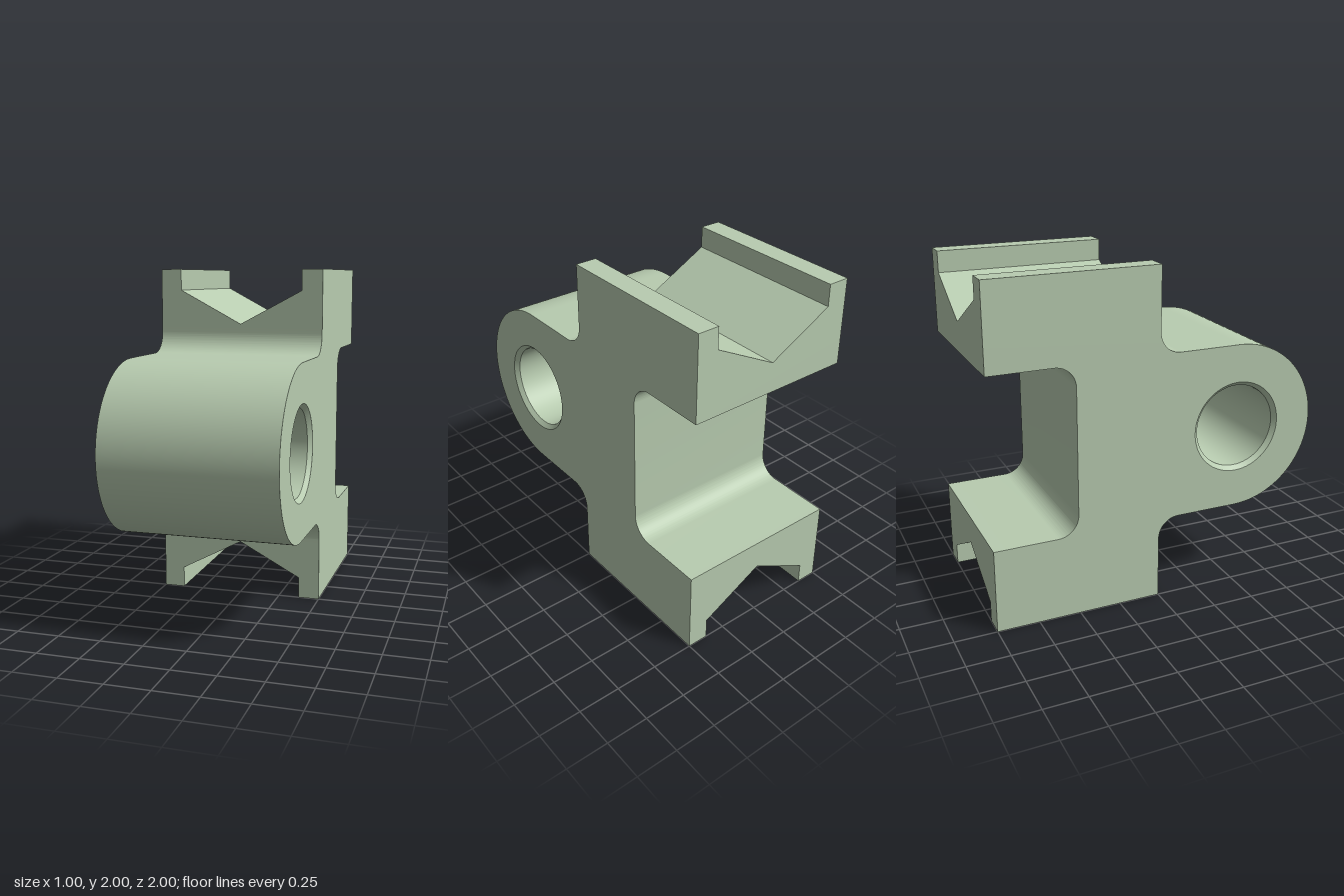
import * as THREE from 'three';
import { toCreasedNormals } from 'three/addons/utils/BufferGeometryUtils.js';

const HALF_WIDTH = 0.5;
const LOW = 0.35, HIGH = 1.65; // heights where the grooved ends join the body
const FILLET = 0.125;
const BORE = { y: 1, z: 0.5, r: 0.25, chamfer: 0.025 };
const near = (a, b) => Math.abs(a - b) < 1e-4;

// Drops every triangle whose three corners all satisfy the test
function dropFaces(geometry, test) {
  const pos = geometry.attributes.position;
  const kept = [];
  for (let i = 0; i < pos.count; i += 3) {
    const corners = [0, 1, 2].map(k => new THREE.Vector3().fromBufferAttribute(pos, i + k));
    if (!corners.every(test)) corners.forEach(c => kept.push(c.x, c.y, c.z));
  }
  const result = new THREE.BufferGeometry();
  result.setAttribute('position', new THREE.Float32BufferAttribute(kept, 3));
  return toCreasedNormals(result, Math.PI / 6);
}

// Side profile (z, y) with rounded nose, fillets and rear notch, extruded across x
function bodyGeometry() {
  const { PI } = Math, f = FILLET;
  const s = new THREE.Shape();
  s.moveTo(-1, LOW);
  s.lineTo(0, LOW);
  s.absarc(f, 0.5 - f, f, PI, PI / 2, true);
  s.absarc(0.5, 1, 0.5, -PI / 2, PI / 2, false);
  s.absarc(f, 1.5 + f, f, -PI / 2, -PI, true);
  s.lineTo(0, HIGH);
  s.lineTo(-1, HIGH);
  s.lineTo(-1, 1.5);
  s.absarc(-0.5 - f, 1.5 - f, f, PI / 2, 0, true);
  s.absarc(-0.5 - f, 0.5 + f, f, 0, -PI / 2, true);
  s.lineTo(-1, 0.5);
  s.closePath();

  const rim = BORE.r + BORE.chamfer;
  const hole = new THREE.Path();
  hole.absarc(BORE.z, BORE.y, rim, 0, PI * 2, true);
  s.holes.push(hole);

  const g = new THREE.ExtrudeGeometry(s, { depth: 2 * HALF_WIDTH, bevelEnabled: false, curveSegments: 32 });
  g.rotateY(-PI / 2).translate(HALF_WIDTH, 0, 0);

  // Leave the joints open, and the hole wall to the chamfered bore
  const joined = dropFaces(g, p => near(p.y, LOW) || near(p.y, HIGH));
  return dropFaces(joined, p => near(Math.hypot(p.y - BORE.y, p.z - BORE.z), rim));
}

// Inward-facing bore with a small chamfer at both ends
function boreGeometry() {
  const { r, chamfer: c } = BORE, w = HALF_WIDTH;
  const profile = [[r + c, w], [r, w - c], [r, c - w], [r + c, -w]].map(p => new THREE.Vector2(...p));
  const g = toCreasedNormals(new THREE.LatheGeometry(profile, 64), Math.PI / 6);
  return g.rotateZ(Math.PI / 2).translate(0, BORE.y, BORE.z);
}

// End block with a V groove between two lips, running along z
function grooveGeometry() {
  const w = HALF_WIDTH;
  const outline = [
    [-w, HIGH], [w, HIGH], [w, 2], [0.375, 2], [0.375, 1.875],
    [0, 1.675], [-0.375, 1.875], [-0.375, 2], [-w, 2],
  ].map(p => new THREE.Vector2(...p));
  const g = new THREE.ExtrudeGeometry(new THREE.Shape(outline), { depth: 1, bevelEnabled: false });
  g.translate(0, 0, -1);
  return dropFaces(g, p => near(p.y, HIGH));
}

export function createModel() {
  const group = new THREE.Group();
  group.name = 'grooveBracket';
  const material = new THREE.MeshStandardMaterial({ color: 0xb8ccb0 });

  const add = (name, geometry) => {
    const mesh = new THREE.Mesh(geometry, material);
    mesh.name = name;
    group.add(mesh);
  };

  add('body', bodyGeometry());
  add('bore', boreGeometry());
  add('upperGroove', grooveGeometry());
  add('lowerGroove', grooveGeometry().rotateZ(Math.PI).translate(0, 2, 0));
  return group;
}
